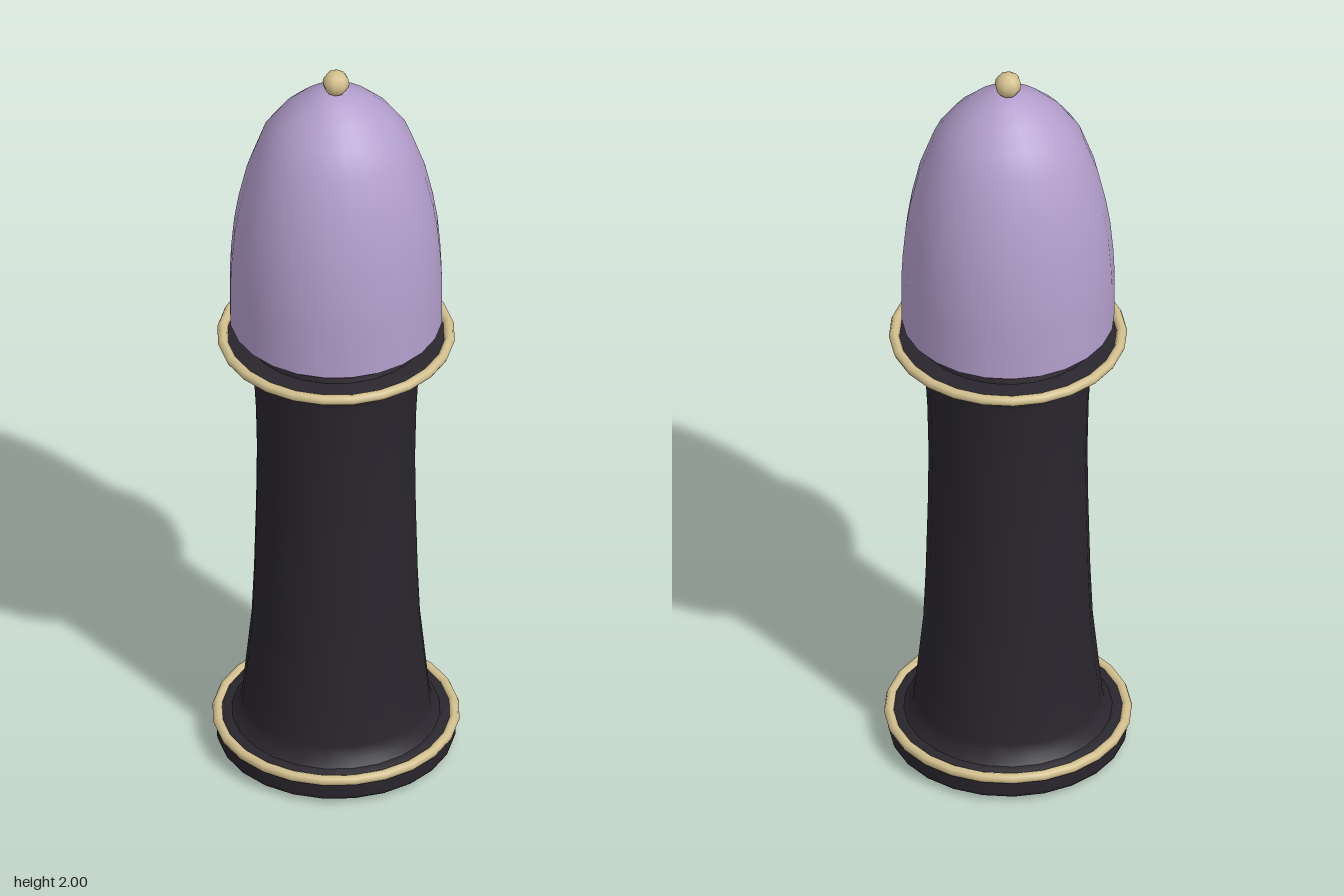
import * as THREE from 'three';

const SEG = 24;
const mat = (color, side = THREE.FrontSide) => new THREE.MeshStandardMaterial({ color, side });

export function createModel() {
  const model = new THREE.Group();
  const dark = mat(0x29262d);
  const gold = mat(0xd3c08e);
  const crimson = mat(0x7a2a44);
  const glass = mat(0xb49fcd, THREE.DoubleSide);

  const add = (name, geometry, material, y = 0) => {
    const mesh = new THREE.Mesh(geometry, material);
    mesh.name = name;
    mesh.position.y = y;
    model.add(mesh);
    return mesh;
  };
  const lathe = (points) =>
    new THREE.LatheGeometry(points.map(([r, y]) => new THREE.Vector2(r, y)), SEG);

  // Round foot with softened lower edge
  add('foot', lathe([
    [0, 0.005], [0.26, 0.005], [0.26, 0.005], [0.29, 0.02], [0.293, 0.03], [0.293, 0.065],
    [0.293, 0.065], [0.28, 0.08], [0.25, 0.085], [0, 0.085],
  ]), dark);

  // Waisted column flaring at both ends
  add('column', lathe([
    [0.26, 0.08], [0.236, 0.1], [0.23, 0.13], [0.222, 0.21], [0.207, 0.36], [0.201, 0.5],
    [0.196, 0.7], [0.194, 0.86], [0.197, 1.0], [0.204, 1.13], [0.208, 1.15],
    [0.235, 1.18], [0.268, 1.197], [0.274, 1.21], [0.274, 1.21], [0.225, 1.222], [0, 1.222],
  ]), dark);

  // Thin trim rings around the foot and the column top
  for (const [name, radius, y] of [['footTrim', 0.29, 0.075], ['topTrim', 0.278, 1.212]]) {
    const ring = new THREE.TorusGeometry(radius, 0.013, 8, SEG);
    ring.rotateX(Math.PI / 2).rotateY(Math.PI / 2);
    add(name, ring, gold, y);
  }

  // Neck and padded disc under the dome
  add('neck', new THREE.CylinderGeometry(0.215, 0.225, 0.03, SEG), dark, 1.233);
  add('cushion', new THREE.CylinderGeometry(0.235, 0.235, 0.022, SEG), crimson, 1.256);

  // Dome cover
  add('dome', lathe([
    [0.248, 1.265], [0.26, 1.265], [0.26, 1.265], [0.26, 1.4], [0.257, 1.46], [0.25, 1.54],
    [0.239, 1.61], [0.219, 1.7], [0.184, 1.8], [0.145, 1.856], [0.1, 1.9], [0.055, 1.927],
    [0.025, 1.938], [0, 1.94],
  ]), glass);

  // Finial ball
  add('finial', new THREE.SphereGeometry(0.033, 8, 8), gold, 1.967);

  return model;
}
